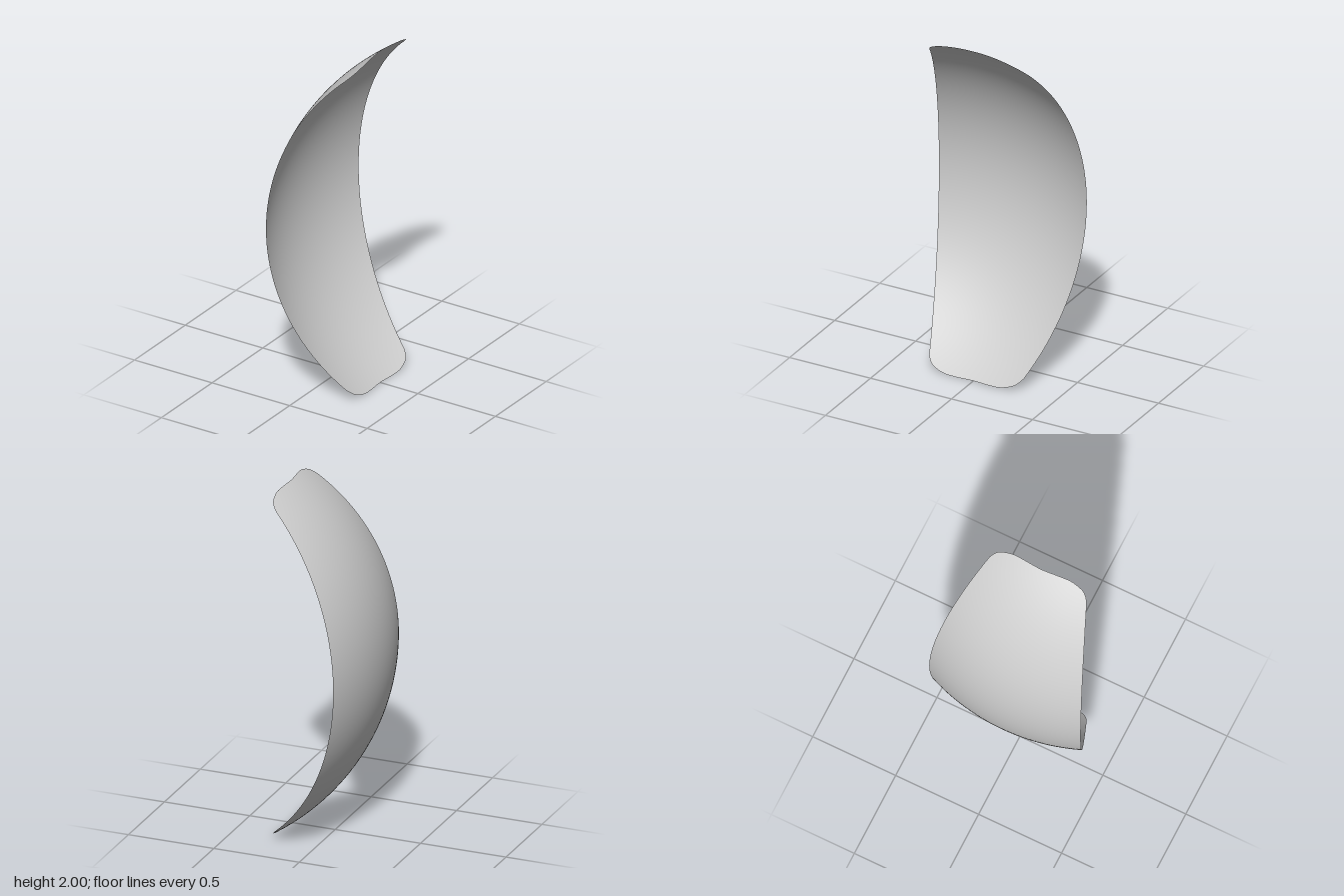
import * as THREE from 'three';

const R = 1.211;        // sphere radius
const CX = 0.941;       // sphere centre in x
const CY = 1;           // sphere centre in y
const COLS = 64, ROWS = 64;

// Half of the end outline seen from above, as [x, z], from the middle to the side edge
const END = [[0.258, 0], [0.265, 0.1], [0.27, 0.165], [0.268, 0.2], [0.258, 0.25],
  [0.25, 0.265], [0.238, 0.279], [0.221, 0.293]];

// Thin curved panel: a slice of a sphere between two meridians, with rounded ends
function panelGeometry() {
  const points = [...END.slice(1).reverse().map(([x, z]) => [x, -z]), ...END];
  const outline = new THREE.CatmullRomCurve3(
    points.map(([x, z]) => new THREE.Vector3(x, 0, z))).getPoints(COLS);

  const geo = new THREE.PlaneGeometry(1, 1, COLS, ROWS);
  const pos = geo.attributes.position, nor = geo.attributes.normal;
  const n = new THREE.Vector3();
  for (let j = 0; j <= ROWS; j++) {
    for (let i = 0; i <= COLS; i++) {
      const end = outline[i];
      const phi = Math.atan2(end.z, CX - end.x);                        // longitude
      const limit = Math.acos(Math.hypot(end.z, CX - end.x) / R);       // latitude of the end
      const lat = limit * (1 - 2 * j / ROWS);
      n.set(-Math.cos(lat) * Math.cos(phi), Math.sin(lat), Math.cos(lat) * Math.sin(phi));
      const k = j * (COLS + 1) + i;
      pos.setXYZ(k, CX + R * n.x, CY + R * n.y, R * n.z);
      nor.setXYZ(k, n.x, n.y, n.z);
    }
  }
  return geo;
}

export function createModel() {
  const group = new THREE.Group();
  group.name = 'curvedShell';
  const material = new THREE.MeshStandardMaterial({ color: 0xcccccc, side: THREE.DoubleSide });
  const panel = new THREE.Mesh(panelGeometry(), material);
  panel.name = 'curvedPanel';
  group.add(panel);
  return group;
}
